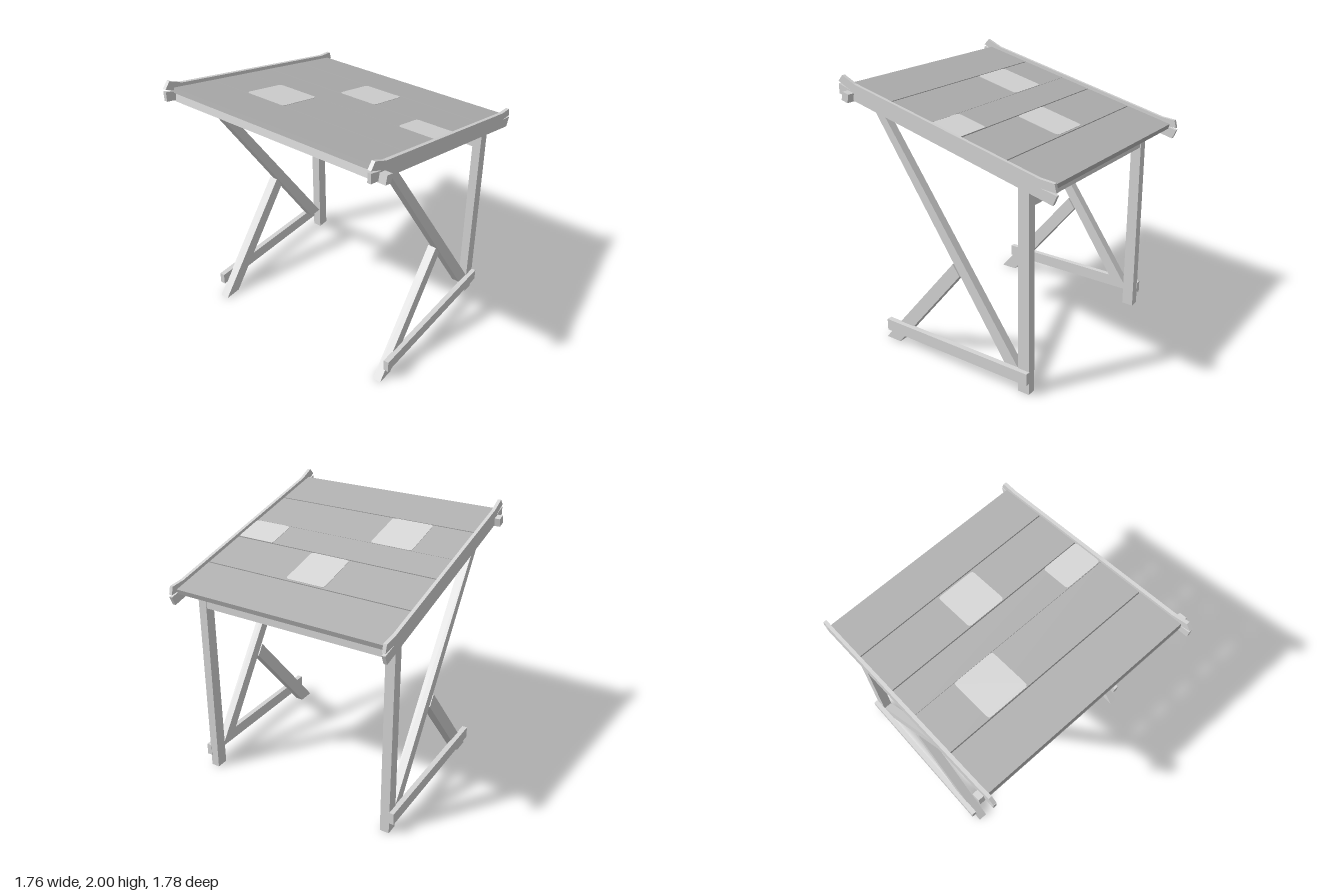
import * as THREE from 'three';

const paint = (name, color) => {
  const m = new THREE.MeshStandardMaterial({ color });
  m.name = name;
  return m;
};

export function createModel() {
  const model = new THREE.Group();
  model.name = 'leanToShelter';
  const timber = paint('pale timber', 0xd4d4d4);
  const boards = paint('roof boards grey', 0xb0b0b0);
  const patchGrey = paint('roof patch light grey', 0xd6d6d6);

  const add = (name, geometry, material, parent = model) => {
    const mesh = new THREE.Mesh(geometry, material);
    mesh.name = name;
    parent.add(mesh);
    return mesh;
  };

  // Side outline given as [z, y] points, extruded from x0 to x1
  const slab = (name, points, x0, x1) => {
    const shape = new THREE.Shape(points.map(([z, y]) => new THREE.Vector2(z, y)));
    const g = new THREE.ExtrudeGeometry(shape, { depth: x1 - x0, bevelEnabled: false });
    g.rotateY(-Math.PI / 2).translate(x1, 0, 0);
    return add(name, g, timber);
  };

  // Box from its minimum and maximum corners
  const block = (name, a, b, material = timber, parent = model) => {
    const g = new THREE.BoxGeometry(b[0] - a[0], b[1] - a[1], b[2] - a[2]);
    g.translate((a[0] + b[0]) / 2, (a[1] + b[1]) / 2, (a[2] + b[2]) / 2);
    return add(name, g, material, parent);
  };

  // Side frames: post, long brace, short strut, foot rail and split-ended roof rail
  const post = [[-0.575, 0], [-0.665, 0], [-0.655, 1.465], [-0.575, 1.495]];
  const brace = [[-0.46, 0.182], [-0.57, 0.182], [0.55, 1.782], [0.635, 1.803]];
  const strut = [[0.64, 0], [0.51, 0], [-0.085, 0.72], [-0.03, 0.8]];
  const rail = [
    [0.89, 1.955], [0.85, 2], [0.74, 1.95], [-0.76, 1.59], [-0.87, 1.58], [-0.885, 1.523],
    [-0.77, 1.533], [-0.888, 1.507], [-0.86, 1.44], [0.89, 1.868], [0.89, 1.938], [0.78, 1.905],
  ];
  const sides = [
    { side: 'left', leg: [0.71, 0.775], foot: [0.768, 0.8], rail: [0.803, 0.828] },
    { side: 'right', leg: [-0.795, -0.725], foot: [-0.83, -0.79], rail: [-0.845, -0.82] },
  ];
  sides[0].foot[1] = 0.808;
  for (const s of sides) {
    slab(s.side + 'Post', post, ...s.leg);
    slab(s.side + 'Brace', brace, s.leg[0] + 0.003, s.leg[1] - 0.003);
    slab(s.side + 'Strut', strut, s.leg[0] + 0.001, s.leg[1] - 0.001);
    slab(s.side + 'RoofRail', rail, ...s.rail);
    block(s.side + 'FootRail', [s.foot[0], 0.09, -0.667], [s.foot[1], 0.18, 0.595]);
  }

  // Cross bar between the rear posts
  block('rearCrossbar', [-0.73, 1.355, -0.65], [0.715, 1.41, -0.59]);

  // Tilted roof group: local y is the roof normal, local z runs along the slope
  const pitch = Math.atan(0.24);
  const cos = Math.cos(pitch);
  const roof = new THREE.Group();
  roof.name = 'roof';
  roof.position.set(0, 1.728, 0);
  roof.rotation.x = -pitch;
  model.add(roof);

  // Boards with narrow joints
  const half = 0.0185;
  const edges = [-0.83, -0.477, -0.122, 0.118, 0.47, 0.82];
  const gaps = [0, 0.008, 0.008, 0.002, 0.008, 0];
  for (let i = 0; i < 5; i++) {
    const z0 = (edges[i] + gaps[i] / 2) / cos;
    const z1 = (edges[i + 1] - gaps[i + 1] / 2) / cos;
    block('roofBoard', [-0.82, -half, z0], [0.805, half, z1], boards, roof);
  }

  // Thin light patches with rounded corners
  const patch = (x0, x1, z0, z1) => {
    const r = 0.025;
    const [a, b] = [z0 / cos, z1 / cos];
    const s = new THREE.Shape();
    s.moveTo(x0 + r, a);
    s.lineTo(x1 - r, a).quadraticCurveTo(x1, a, x1, a + r);
    s.lineTo(x1, b - r).quadraticCurveTo(x1, b, x1 - r, b);
    s.lineTo(x0 + r, b).quadraticCurveTo(x0, b, x0, b - r);
    s.lineTo(x0, a + r).quadraticCurveTo(x0, a, x0 + r, a);
    const g = new THREE.ExtrudeGeometry(s, { depth: 0.003, bevelEnabled: false, curveSegments: 4 });
    g.rotateX(Math.PI / 2).translate(0, half + 0.003, 0);
    add('roofPatch', g, patchGrey, roof);
  };
  patch(-0.155, 0.152, -0.46, -0.128);
  patch(0.5, 0.803, -0.118, 0.114);
  patch(-0.5, -0.175, 0.12, 0.464);

  // Supports below the boards
  block('centreRafter', [-0.033, -half - 0.063, -0.72], [0.03, -half, 0.77], timber, roof);
  block('roofBatten', [-0.8, -half - 0.012, -0.18], [0.785, -half, -0.15], timber, roof);
  block('frontPurlin', [-0.885, -half - 0.062, 0.765], [0.88, -half, 0.822], timber, roof);

  return model;
}
